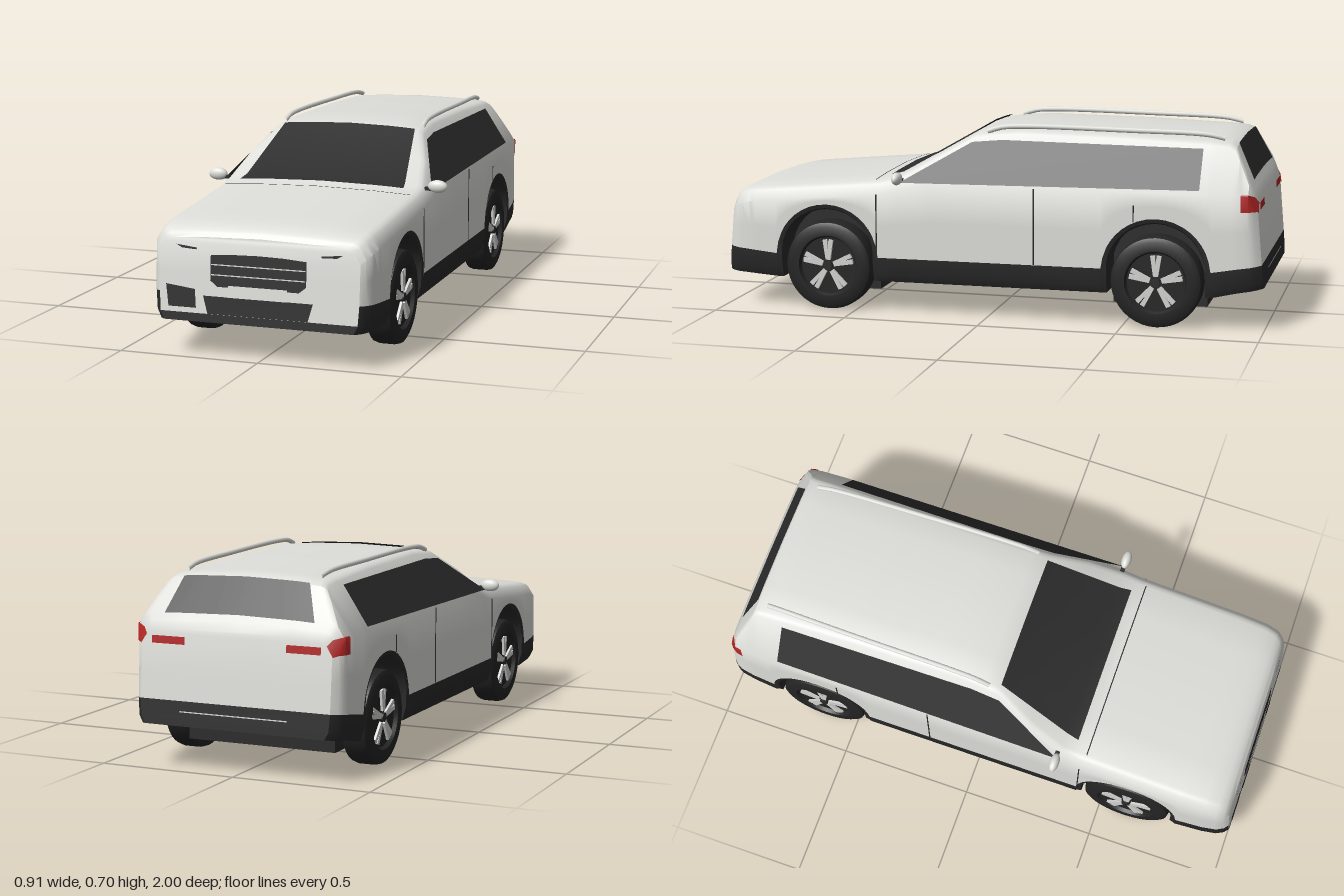
import * as THREE from 'three';
import { toCreasedNormals } from 'three/addons/utils/BufferGeometryUtils.js';

const mat = (name, color, side = THREE.FrontSide) => {
  const m = new THREE.MeshStandardMaterial({ color, side });
  m.name = name;
  return m;
};

// piecewise linear lookup in a table of [position, value], positions ascending
function at(table, p) {
  if (p <= table[0][0]) return table[0][1];
  for (let i = 1; i < table.length; i++) {
    const [p0, v0] = table[i - 1], [p1, v1] = table[i];
    if (p <= p1) return v0 + (v1 - v0) * (p - p0) / (p1 - p0);
  }
  return table[table.length - 1][1];
}

const TOP = [[-.97, .485], [-.955, .515], [-.885, .655], [-.86, .667], [-.8, .672], [-.5, .683], [-.1, .688], [0, .68],
  [.06, .672], [.33, .517], [.4, .5], [.88, .457], [.93, .447], [.955, .435], [.97, .415]];
const WIDTH = [[0, .396], [.8, .396], [.9, .392], [.94, .384], [.96, .37], [.97, .354]];
const SILL = [[-.97, .155], [-.82, .12], [.8, .115], [.97, .125]];
const CLAD = [[-.97, .24], [-.8, .21], [.8, .205], [.97, .22]];
const AXLES = [.6, -.62], ARCH = .175, TRIM = .195;

// main measures of the cross-section at z
function measures(z) {
  const w = at(WIDTH, Math.abs(z)), yt = at(TOP, z);
  const ys = Math.min(.485, yt - .06), ye = yt - .025;
  let yb = at(SILL, z), yc = at(CLAD, z);
  for (const a of AXLES) {
    const d = Math.abs(z - a);
    if (d <= ARCH + 1e-6) yb = .2 + Math.sqrt(Math.max(0, ARCH * ARCH - d * d));
    if (d < TRIM) yc = Math.max(yc, .2 + Math.sqrt(TRIM * TRIM - d * d));
  }
  return { w, yt, ys, ye, yb, yc, r: w - (ye - ys) * .65 };
}
// the ends lean outward toward the bottom
const lean = (y, z) => z + Math.sign(z) * Math.min(1, Math.max(0, (Math.abs(z) - .9) / .07)) * Math.max(0, .45 - y) * .09;

function ring(z) {
  const { w, yt, ys, ye, yb, yc, r } = measures(z);
  const half = [[w - .018, yb], [w - .004, yb + (yc - yb) * .3], [w, yc], [w, (yc + ys) / 2], [w, ys],
    [r, ye], [r - .01, yt - .017], [r - .025, yt - .012], [r * .6, yt - .005], [0, yt]];
  const other = half.slice(0, -1).reverse().map(([x, y]) => [-x, y]);
  return [...half, ...other].map(([x, y]) => [x, y, lean(y, z)]);
}

function soup(quads) {
  const p = [];
  for (const [a, b, c, d] of quads) p.push(...a, ...b, ...c, ...a, ...c, ...d);
  const g = new THREE.BufferGeometry();
  g.setAttribute('position', new THREE.Float32BufferAttribute(p, 3));
  return toCreasedNormals(g, .6);
}

// body shell lofted along z, split into paint and lower cladding
function shell() {
  const zs = new Set([...TOP.map(t => t[0]), -.94, -.92, -.9, .9, .94, .96, .8, -.82, .2, -.2]);
  for (const a of AXLES) {
    for (let k = 0; k <= 16; k++) zs.add(a + ARCH * Math.cos(k * Math.PI / 16));
    for (const e of [ARCH + .001, TRIM - .006, TRIM - .001, TRIM + .001]) zs.add(a + e).add(a - e);
  }
  const rings = [...zs].sort((a, b) => a - b).map(ring);
  const paint = [], clad = [], N = rings[0].length, last = rings[rings.length - 1];
  for (let s = 0; s + 1 < rings.length; s++) for (let j = 0; j < N; j++) {
    const k = (j + 1) % N, A = rings[s], B = rings[s + 1];
    (j < 2 || j >= N - 3 ? clad : paint).push([A[j], A[k], B[k], B[j]]);
  }
  // end faces
  for (let j = 0; j < (N - 1) / 2; j++) {
    const cap = R => [R[N - 1 - j], R[j], R[j + 1], R[N - 2 - j]];
    (j < 1 ? clad : paint).push(cap(last));
    (j < 2 ? clad : paint).push(cap(rings[0]).reverse());
  }
  return [soup(paint), soup(clad)];
}

// thin sheet following the upper surface between rows of [z, halfWidth]
function topSheet(rows, lift) {
  const f = [-1, -.8, -.6, -.3, 0, .3, .6, .8, 1], quads = [];
  const pts = rows.map(([z, h]) => f.map(u => {
    const { yt, r } = measures(z);
    return [u * h, lift + at([[0, yt], [r * .6, yt - .005], [r - .025, yt - .012]], Math.abs(u * h)), z];
  }));
  for (let i = 0; i + 1 < pts.length; i++) for (let j = 0; j + 1 < f.length; j++)
    quads.push([pts[i][j], pts[i][j + 1], pts[i + 1][j + 1], pts[i + 1][j]]);
  return soup(quads);
}

const outline = pts => new THREE.ShapeGeometry(new THREE.Shape(pts.map(p => new THREE.Vector2(...p))));
function moveVertices(g, rule) {
  const p = g.attributes.position;
  for (let i = 0; i < p.count; i++) p.setXYZ(i, ...rule(p.getX(i), p.getY(i)));
  g.computeVertexNormals();
  return g;
}
// plate lying on the nose (or, turned round, on the tail)
const endPlate = (pts, lift = .004) => moveVertices(outline(pts), (x, y) => [x, y, lean(y, .97) + lift]);
const rect = (x0, x1, y0, y1) => [[x0, y0], [x1, y0], [x1, y1], [x0, y1]];

export function createModel() {
  const car = new THREE.Group();
  car.name = 'car';
  const body = mat('body paint', 0xdededa);
  const trim = mat('dark trim', 0x2a2a2a, THREE.DoubleSide);
  const glass = mat('dark glass', 0x2d2d2d, THREE.DoubleSide);
  const rubber = mat('tyre rubber', 0x242424);
  const metal = mat('bright metal', 0xd4d4d2);
  const red = mat('red lamp', 0xb32626, THREE.DoubleSide);
  const add = (name, g, m, parent = car) => {
    const mesh = new THREE.Mesh(g, m);
    mesh.name = name;
    parent.add(mesh);
    return mesh;
  };
  const box = (name, size, pos, m, parent) => add(name, new THREE.BoxGeometry(...size), m, parent).position.set(...pos);

  const [paint, clad] = shell();
  add('bodyShell', paint, body);
  add('lowerCladding', clad, trim);
  AXLES.forEach(z => box('axleHousing', [.56, .335, .34], [0, .2325, z], trim));

  // glass and bonnet seam
  add('windscreen', topSheet([[.375, .31], [.33, .302], [.06, .255]], .006), glass);
  add('rearWindow', topSheet([[-.887, .235], [-.948, .28]], .01), glass);
  add('bonnetSeam', topSheet([[.423, .35], [.419, .35]], .002), trim);

  // nose details
  add('grille', endPlate([[-.17, .268], [-.145, .248], [.145, .248], [.17, .268], [.17, .352], [.09, .358], [0, .36], [-.09, .358], [-.17, .352]]), trim);
  for (const y of [.288, .322]) add('grilleBar', endPlate(rect(-.167, .167, y - .002, y + .002), .007), metal);
  add('lowerIntake', endPlate([[-.178, .155], [.178, .155], [.195, .215], [-.195, .215]]), trim);
  add('numberPlate', endPlate(rect(-.105, .105, .215, .255), .007), body);
  add('fogLampRecess', endPlate([[-.32, .172], [-.22, .172], [-.225, .235], [-.33, .247]]), trim);

  // tail details
  add('bumperStrip', endPlate(rect(-.2, .2, .203, .207)).rotateY(Math.PI), metal);

  for (const s of [1, -1]) {
    const window = [[.32, .487], [.07, .632], [-.04, .642], [-.77, .636], [-.77, .5]];
    add('sideWindow', moveVertices(outline(window), (z, y) => [s * (.4 - (y - .485) * .65), y, z]), glass);
    add('headlamp', endPlate([[.295, .382], [.22, .374], [.222, .368], [.275, .371]].map(([x, y]) => [s * x, y])), trim);
    add('tailLampBar', endPlate(rect(s * .19, s * .315, .43, .456)).rotateY(Math.PI), red);

    // tail lamp wrapped round the corner
    const cols = [-.915, -.94, -.96, -.97].map(z => {
      const { w, ys, ye } = measures(z), y1 = Math.min(.49, ye);
      return [.43, Math.min(ys, y1), y1].map(y => [s * (w - Math.max(0, y - ys) * .65 + .004), y, lean(y, z) - (z < -.965 ? .003 : 0)]);
    });
    const quads = [];
    for (let i = 0; i < 3; i++) for (let j = 0; j < 2; j++) {
      const q = [cols[i][j], cols[i + 1][j], cols[i + 1][j + 1], cols[i][j + 1]];
      quads.push(s > 0 ? q.reverse() : q);
    }
    add('cornerTailLamp', soup(quads), red);

    // door seams
    for (const [z, y0, y1] of [[.408, .2, .44], [-.18, .21, .485], [-.54, .38, .44]])
      box('doorSeam', [.004, y1 - y0, .004], [s * .396, (y0 + y1) / 2, z], trim);

    // mirror
    const mirror = add('mirror', new THREE.SphereGeometry(1, 20, 14), body);
    mirror.scale.set(.036, .023, .018);
    mirror.position.set(s * .42, .505, .32);
    box('mirrorStem', [.03, .012, .016], [s * .388, .495, .318], trim);

    // roof rail
    const path = new THREE.CatmullRomCurve3([[.272, .668, .02], [.27, .684, -.03], [.268, .69, -.12], [.262, .687, -.5], [.254, .68, -.78], [.25, .668, -.84]]
      .map(([x, y, z]) => new THREE.Vector3(s * x, y, z)));
    add('roofRail', new THREE.TubeGeometry(path, 32, .009, 8), body);

    // wheels, built with the axle along y and turned to face outward
    for (const z of AXLES) {
      const wheel = new THREE.Group();
      wheel.name = 'wheel';
      const profile = [[0, -.05], [.145, -.05], [.16, -.042], [.165, -.025], [.165, .025], [.16, .042], [.145, .05], [.112, .05], [.105, .036], [0, .036]];
      add('tyre', toCreasedNormals(new THREE.LatheGeometry(profile.map(p => new THREE.Vector2(...p)), 40), .7), rubber, wheel);
      const spoke = new THREE.Shape([[-.009, .022], [.009, .022], [.02, .095], [.003, .098], [0, .06], [-.003, .098], [-.02, .095]].map(p => new THREE.Vector2(...p)));
      for (let k = 0; k < 5; k++) {
        const g = new THREE.ExtrudeGeometry(spoke, { depth: .01, bevelEnabled: false });
        g.rotateZ(k * Math.PI * .4).rotateX(-Math.PI / 2).translate(0, .035, 0);
        add('spoke', g, metal, wheel);
      }
      const hub = add('hub', new THREE.CylinderGeometry(.016, .016, .014, 16), trim, wheel);
      hub.position.y = .041;
      // local y to the outside, local -z (spoke one) to the top
      wheel.quaternion.setFromRotationMatrix(new THREE.Matrix4().makeBasis(
        new THREE.Vector3(0, 0, -s), new THREE.Vector3(s, 0, 0), new THREE.Vector3(0, -1, 0)));
      wheel.position.set(s * .34, .165, z);
      car.add(wheel);
    }
  }
  return car;
}
